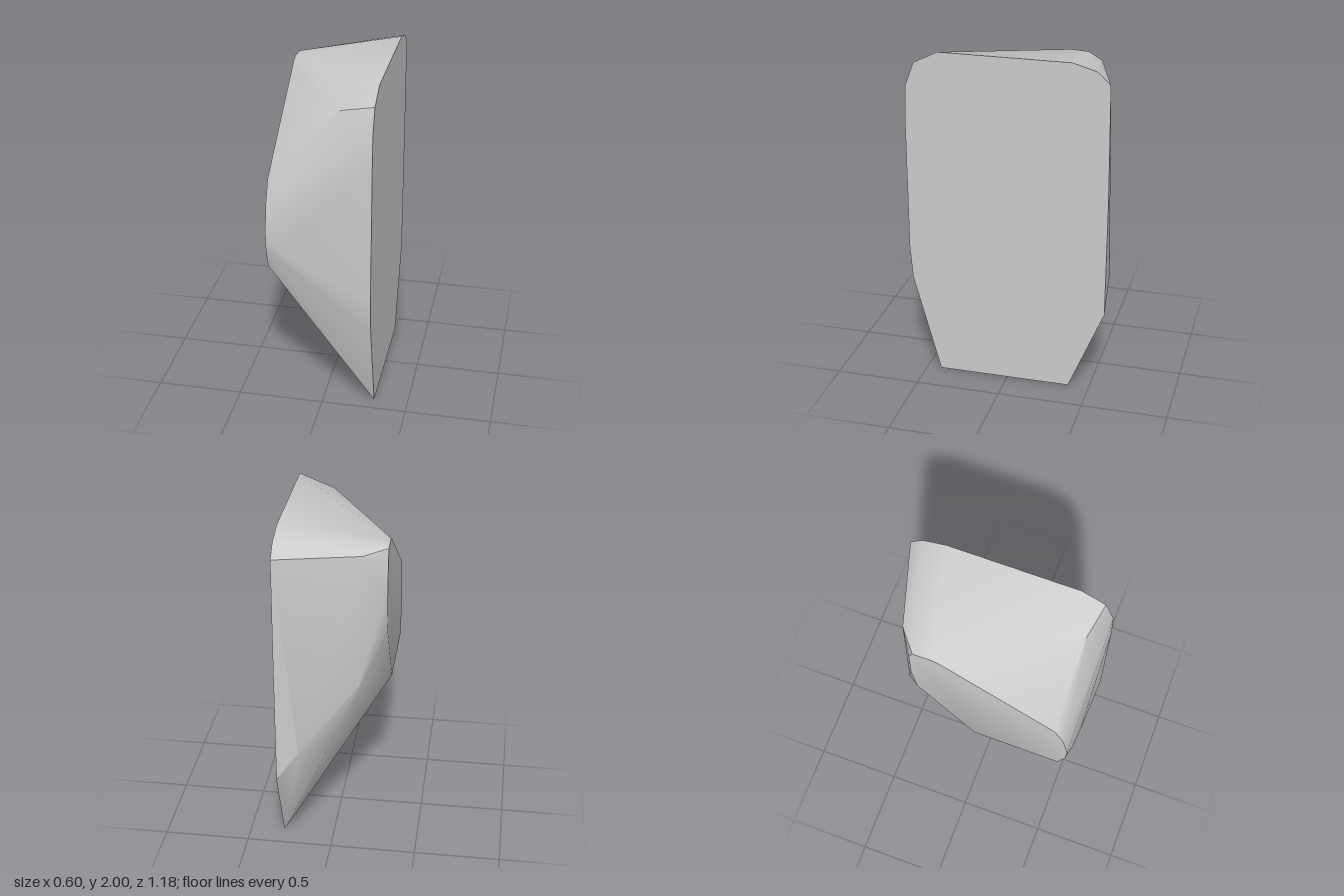
import * as THREE from 'three';
import { ConvexGeometry } from 'three/addons/geometries/ConvexGeometry.js';
import { toCreasedNormals } from 'three/addons/utils/BufferGeometryUtils.js';

// Outline of a flat side: [z, y] pairs placed at one x
const side = (x, outline) => outline.map(([z, y]) => new THREE.Vector3(x, y, z));

export function createModel() {
  const group = new THREE.Group();
  group.name = 'stone';
  const stoneGrey = new THREE.MeshStandardMaterial({ color: 0xcccccc });
  stoneGrey.name = 'stoneGrey';

  // Large flat side
  const largeSide = side(0.3, [
    [0.415, 0], [-0.375, 0], [-0.583, 0.5], [-0.588, 1.2], [-0.583, 1.89], [-0.51, 1.96],
    [-0.37, 2], [0.39, 2], [0.53, 1.93], [0.583, 1.79], [0.59, 1.6], [0.59, 0.8], [0.575, 0.6],
  ]);

  // Smaller flat side
  const smallSide = side(-0.3, [
    [0, 0.91], [0.52, 0.91], [0.56, 1.03], [0.567, 1.14], [0.535, 1.31], [0.48, 1.435],
    [-0.18, 1.87], [-0.23, 1.888], [-0.335, 1.882], [-0.358, 1.83], [-0.36, 1.6], [-0.335, 1.4],
  ]);

  // Chipped corners between the two sides
  const corners = [
    [0.11, 1.88, 0.49], [-0.23, 1.05, 0.578], [-0.1, 1.0, 0.585],
    [-0.17, 1.875, -0.442], [-0.16, 1.09, -0.455], [-0.03, 0.77, -0.465], [0.17, 0.7, -0.583],
  ].map((p) => new THREE.Vector3(...p));

  const hull = new ConvexGeometry([...largeSide, ...smallSide, ...corners]);
  const body = new THREE.Mesh(toCreasedNormals(hull, 0.6), stoneGrey);
  body.name = 'stoneBody';
  group.add(body);
  return group;
}
